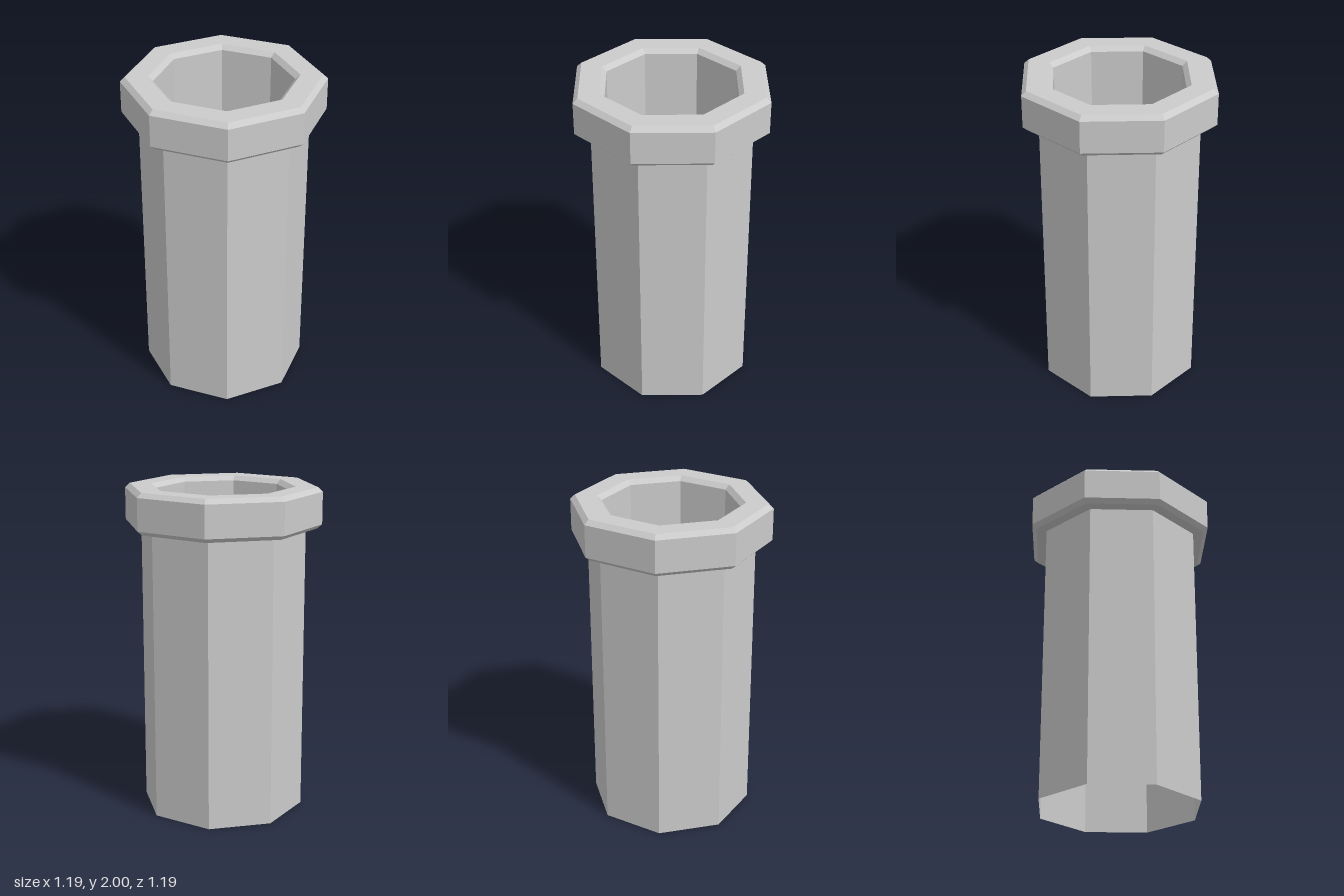
import * as THREE from 'three';

const SIDES = 8;
const material = new THREE.MeshStandardMaterial({
  color: 0xcccccc,
  flatShading: true,
  side: THREE.DoubleSide,
});

// Turns a [radius, height] profile into an eight-sided shell
function turned(name, profile) {
  const points = profile.map(([r, y]) => new THREE.Vector2(r, y));
  const mesh = new THREE.Mesh(new THREE.LatheGeometry(points, SIDES), material);
  mesh.name = name;
  return mesh;
}

export function createModel() {
  const pipe = new THREE.Group();
  pipe.name = 'pipe';

  // Straight outer wall, open at the bottom
  pipe.add(turned('shaft', [[0.5, 0], [0.5, 1.755]]));

  // Bevelled collar around the mouth
  pipe.add(turned('collar', [
    [0.5, 1.755], [0.568, 1.755], [0.597, 1.78], [0.597, 1.973],
    [0.568, 2], [0.437, 2], [0.408, 1.973],
  ]));

  // Inner wall running down to a closed floor
  pipe.add(turned('bore', [[0.408, 1.973], [0.408, 0.5], [0, 0.5]]));

  return pipe;
}
